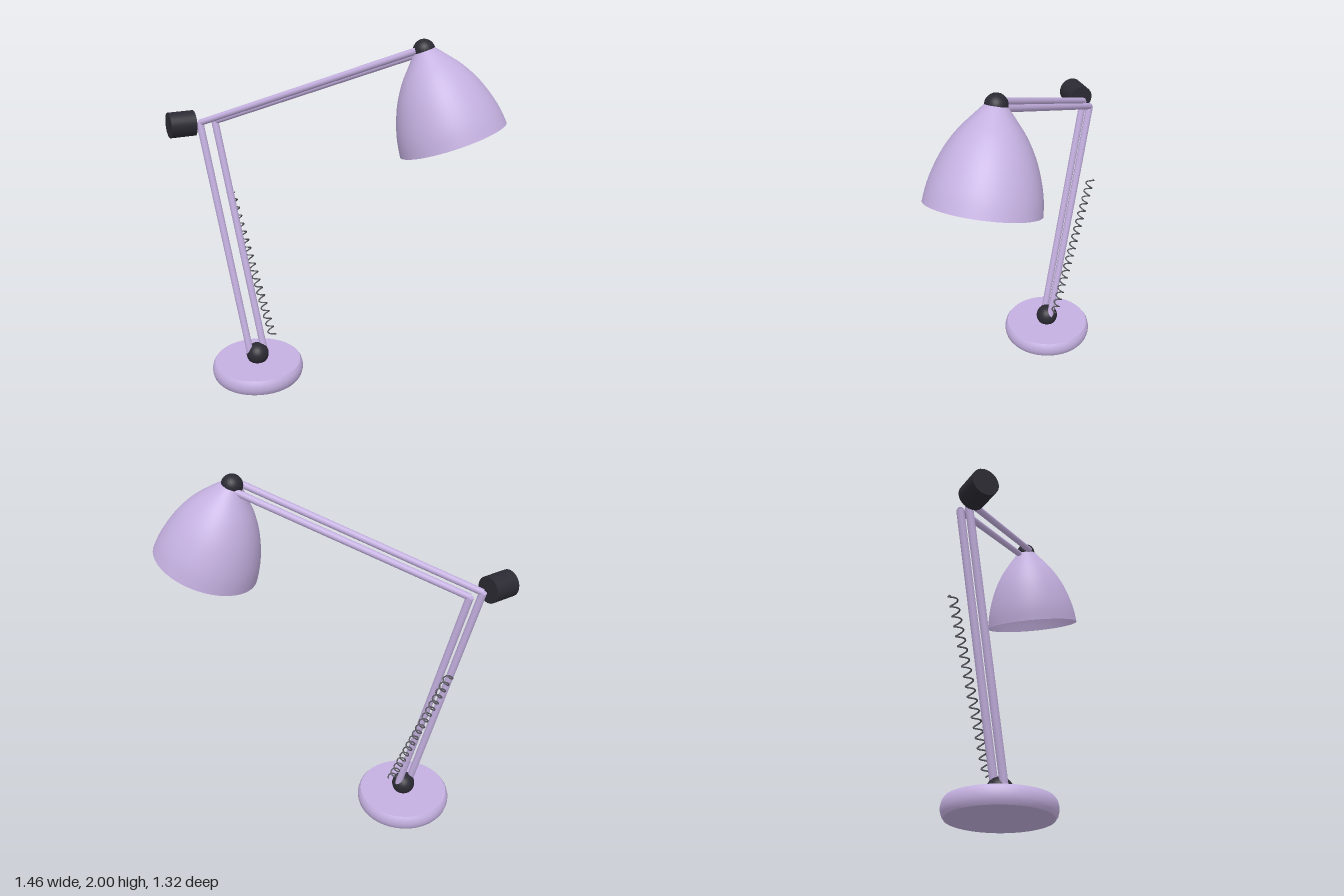
import * as THREE from 'three';
import { toCreasedNormals } from 'three/addons/utils/BufferGeometryUtils.js';

const V = (x, y, z) => new THREE.Vector3(x, y, z);
const UP = V(0, 1, 0);

export function createModel() {
  const lamp = new THREE.Group();
  lamp.name = 'deskLamp';

  const lilac = new THREE.MeshStandardMaterial({ color: 0xc4b0e0 });
  const lilacThin = new THREE.MeshStandardMaterial({ color: 0xc4b0e0, side: THREE.DoubleSide });
  const dark = new THREE.MeshStandardMaterial({ color: 0x2b2a33 });
  const steel = new THREE.MeshStandardMaterial({ color: 0x55555c });
  const glass = new THREE.MeshStandardMaterial({ color: 0xf3ead0 });

  const add = (name, geometry, material, position = V(0, 0, 0), parent = lamp) => {
    const mesh = new THREE.Mesh(geometry, material);
    mesh.name = name;
    mesh.position.copy(position);
    parent.add(mesh);
    return mesh;
  };

  // Joint centres
  const foot = V(-0.37, 0.13, -0.31);
  const elbow = V(-0.512, 1.475, -0.6);
  const head = V(0.345, 1.945, 0.265);

  // Round base with a bulging edge
  const baseProfile = [
    [0, 0], [0.25, 0], [0.26, 0.015], [0.265, 0.035], [0.265, 0.055],
    [0.26, 0.075], [0.25, 0.09], [0, 0.09],
  ].map(([r, y]) => new THREE.Vector2(r, y));
  add('base', toCreasedNormals(new THREE.LatheGeometry(baseProfile, 40), 0.6), lilac, V(foot.x, 0, foot.z));

  // Ball joints
  add('footJoint', new THREE.SphereGeometry(0.065, 24, 16), dark, foot);
  add('headJoint', new THREE.SphereGeometry(0.055, 24, 16), dark, head);

  // Paired arm rods
  const rodPair = (name, from, to, radius) => {
    const dir = to.clone().sub(from);
    for (const side of [-1, 1]) {
      const rod = add(name + (side < 0 ? 'Right' : 'Left'),
        new THREE.CylinderGeometry(radius, radius, dir.length(), 16), lilac,
        from.clone().lerp(to, 0.5).add(V(side * 0.043, 0, 0)));
      rod.quaternion.setFromUnitVectors(UP, dir.clone().normalize());
    }
  };
  rodPair('lowerArm', foot, elbow, 0.02);
  rodPair('upperArm', elbow, head, 0.0175);

  // Counterweight beside the elbow
  add('counterweight', new THREE.CylinderGeometry(0.07, 0.07, 0.142, 28), dark,
    V(-0.659, 1.478, -0.6)).rotation.z = Math.PI / 2;

  // Coil spring
  const start = V(-0.27, 0.22, -0.32);
  const axis = V(-0.395, 1.045, -0.592).sub(start);
  const turn = new THREE.Quaternion().setFromUnitVectors(UP, axis.clone().normalize());
  const turns = 18, perTurn = 14, coil = [];
  for (let i = 0; i <= turns * perTurn; i++) {
    const a = (i / perTurn) * Math.PI * 2;
    coil.push(V(0.021 * Math.cos(a), 0, 0.021 * Math.sin(a)).applyQuaternion(turn)
      .add(start).addScaledVector(axis, i / (turns * perTurn)));
  }
  add('spring', new THREE.TubeGeometry(new THREE.CatmullRomCurve3(coil), turns * perTurn, 0.004, 6), steel);

  // Tilted head: bell shade and bulb, hanging along local -y
  const headGroup = new THREE.Group();
  headGroup.name = 'lampHead';
  headGroup.position.copy(head);
  const tilt = 0.36, sway = Math.sin(tilt) * Math.SQRT1_2;
  headGroup.quaternion.setFromUnitVectors(V(0, -1, 0), V(sway, -Math.cos(tilt), sway));
  lamp.add(headGroup);

  const shadeCurve = new THREE.SplineCurve([
    [0.277, -0.465], [0.266, -0.385], [0.243, -0.3], [0.207, -0.21],
    [0.157, -0.125], [0.1, -0.055], [0.052, 0],
  ].map(([r, y]) => new THREE.Vector2(r, y)));
  add('shade', new THREE.LatheGeometry(shadeCurve.getPoints(24), 48), lilacThin, V(0, 0, 0), headGroup);
  add('bulb', new THREE.SphereGeometry(0.09, 24, 16), glass, V(0, -0.32, 0), headGroup);

  return lamp;
}
